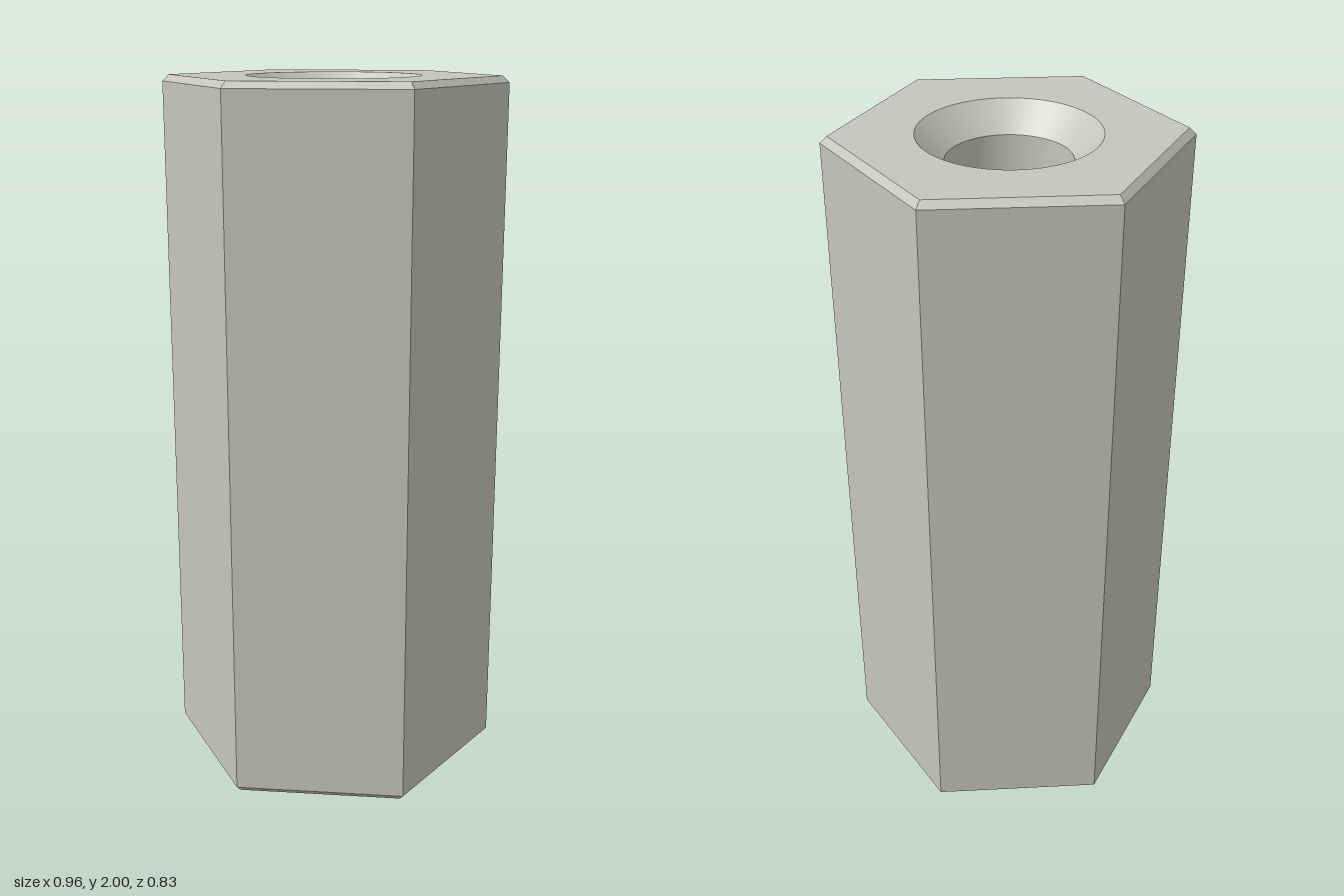
import * as THREE from 'three';

const HEIGHT = 2;
const HEX = 0.48, HEX_END = 0.461, CHAMFER = 0.018;   // corner radii and chamfer height
const BORE = 0.168, SINK = 0.242, SINK_DEPTH = 0.074; // through hole and countersinks

export function createModel() {
  const group = new THREE.Group();
  group.name = 'hexStandoff';
  const metal = new THREE.MeshStandardMaterial({ color: 0xc6c4be });
  metal.name = 'light grey metal';

  const add = (name, geometry) => {
    const mesh = new THREE.Mesh(geometry, metal);
    mesh.name = name;
    group.add(mesh);
  };

  // One band of revolution from (r0, y0) to (r1, y1); rising faces out, falling faces in
  const band = (r0, y0, r1, y1, sides) => {
    const points = [new THREE.Vector2(r0, y0), new THREE.Vector2(r1, y1)];
    const geometry = new THREE.LatheGeometry(points, sides, Math.PI / 2);
    if (sides > 6) return geometry;
    const flat = geometry.toNonIndexed();
    flat.computeVertexNormals();
    return flat;
  };

  // Six-sided body with chamfered ends
  const top = HEIGHT - CHAMFER;
  add('bottomChamfer', band(HEX_END, 0, HEX, CHAMFER, 6));
  add('hexBody', band(HEX, CHAMFER, HEX, top, 6));
  add('topChamfer', band(HEX, top, HEX_END, HEIGHT, 6));

  // Round through hole with a countersink at each end
  const sinkTop = HEIGHT - SINK_DEPTH;
  add('topCountersink', band(SINK, HEIGHT, BORE, sinkTop, 72));
  add('bore', band(BORE, sinkTop, BORE, SINK_DEPTH, 72));
  add('bottomCountersink', band(BORE, SINK_DEPTH, SINK, 0, 72));

  // Flat end faces
  const corners = Array.from({ length: 6 }, (_, i) => {
    const a = i * Math.PI / 3;
    return new THREE.Vector2(HEX_END * Math.cos(a), HEX_END * Math.sin(a));
  });
  const endShape = new THREE.Shape(corners);
  endShape.holes.push(new THREE.Path().absarc(0, 0, SINK, 0, Math.PI * 2, true));
  const endFace = () => new THREE.ShapeGeometry(endShape, 36);
  add('topFace', endFace().rotateX(-Math.PI / 2).translate(0, HEIGHT, 0));
  add('bottomFace', endFace().rotateX(Math.PI / 2));

  return group;
}
